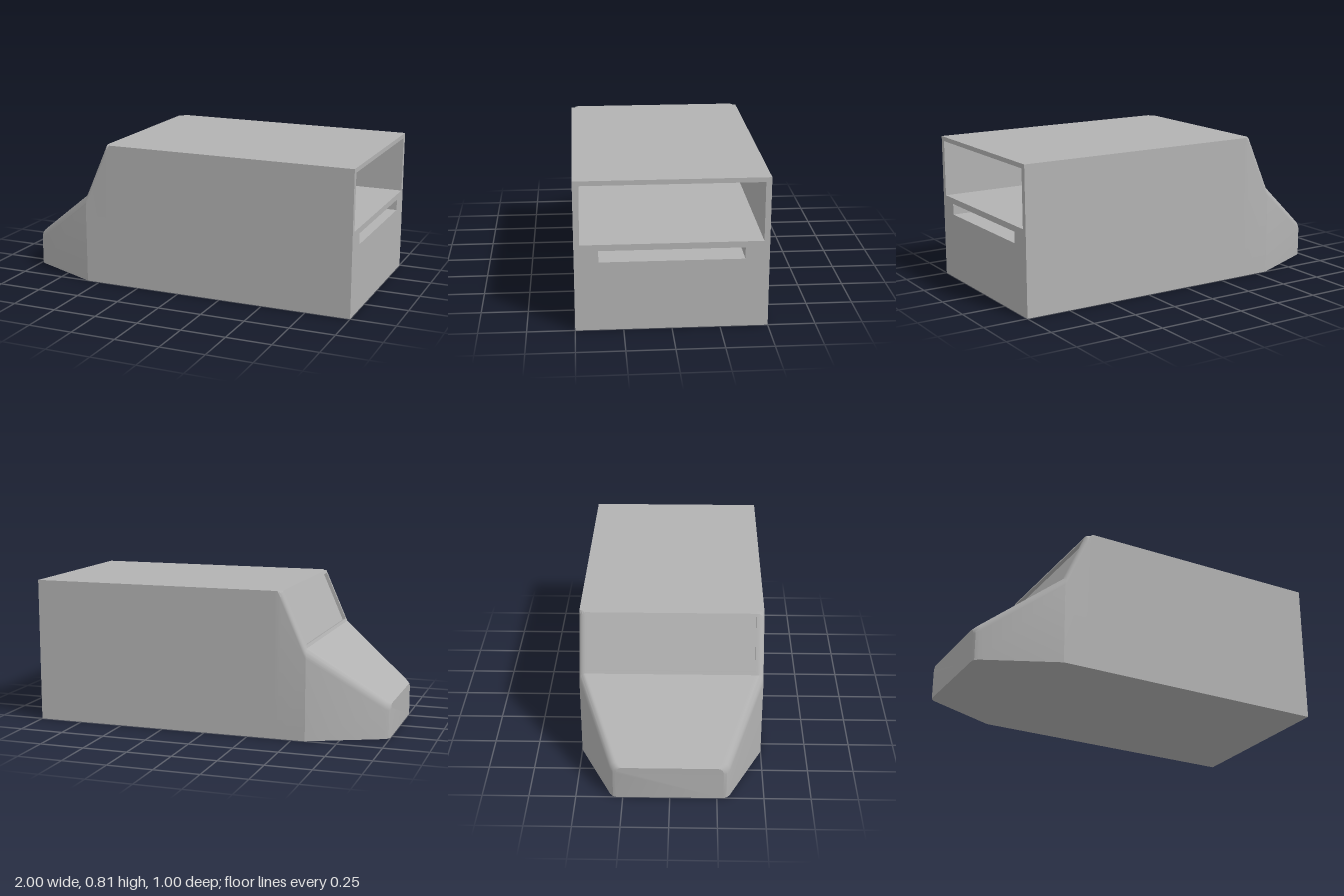
import * as THREE from 'three';
import { toCreasedNormals } from 'three/addons/utils/BufferGeometryUtils.js';

// Cab cross-sections: x, half width, height, corner rounding in z and y
const SECTIONS = [
  [-1, 0.285, 0.19, 0.03, 0.035],
  [-0.993, 0.302, 0.195, 0.035, 0.04],
  [-0.975, 0.318, 0.209, 0.035, 0.045],
  [-0.575, 0.5, 0.505, 0.035, 0.05],
  [-0.568, 0.5, 0.521, 0.035, 0.06],
  [-0.447, 0.5, 0.794, 0.035, 0.06],
  [-0.44, 0.5, 0.81, 0.035, 0.06],
  [-0.415, 0.5, 0.81, 0.035, 0],
  [-0.4, 0.5, 0.81, 0.035, 0],
];
const WINDSHIELD = 4; // section where the windshield opening starts
const ARC = 6;
const MID = ARC + 2; // loop index of the flat centre strip

function sectionLoop([x, w, h, rz, ry]) {
  const half = [new THREE.Vector3(x, 0, w)];
  for (let k = 0; k <= ARC; k++) {
    const a = (k / ARC) * Math.PI / 2;
    half.push(new THREE.Vector3(x, h - ry + ry * Math.sin(a), w - rz + rz * Math.cos(a)));
  }
  half.push(new THREE.Vector3(x, h, w - rz - 0.01));
  const mirrored = half.map((p) => new THREE.Vector3(p.x, p.y, -p.z)).reverse();
  return half.concat(mirrored);
}

function fromTriangles(points) {
  const geometry = new THREE.BufferGeometry().setFromPoints(points);
  return toCreasedNormals(geometry, 0.4);
}

function quad(out, a, b, c, d) {
  out.push(a, b, c, a, c, d);
}

function cabGeometry(loops) {
  const out = [];
  const n = loops[0].length;
  for (let i = 0; i < loops.length - 1; i++) {
    for (let j = 0; j < n; j++) {
      if (i === WINDSHIELD && j === MID) continue;
      const k = (j + 1) % n;
      quad(out, loops[i][j], loops[i + 1][j], loops[i + 1][k], loops[i][k]);
    }
  }
  // Nose face
  for (let k = 1; k < n - 1; k++) out.push(loops[0][0], loops[0][k], loops[0][k + 1]);
  return fromTriangles(out);
}

function windshieldGeometry(loops) {
  const lower = loops[WINDSHIELD], upper = loops[WINDSHIELD + 1];
  const rim = [lower[MID], upper[MID], upper[MID + 1], lower[MID + 1]];
  const inset = new THREE.Vector3(0.018, -0.008, 0);
  const pane = rim.map((p) => p.clone().add(inset));
  const out = [];
  quad(out, ...pane);
  for (let k = 0; k < 4; k++) {
    const m = (k + 1) % 4;
    quad(out, rim[k], rim[m], pane[m], pane[k]);
  }
  return fromTriangles(out);
}

function rectangle(path, halfWidth, y0, y1) {
  path.moveTo(-halfWidth, y0);
  path.lineTo(halfWidth, y0);
  path.lineTo(halfWidth, y1);
  path.lineTo(-halfWidth, y1);
  path.closePath();
  return path;
}

export function createModel() {
  const model = new THREE.Group();
  model.name = 'van';
  const grey = new THREE.MeshStandardMaterial({ color: 0xb2b2b2 });
  grey.name = 'body grey';

  function add(name, geometry) {
    const mesh = new THREE.Mesh(geometry, grey);
    mesh.name = name;
    model.add(mesh);
    return mesh;
  }

  // Tapered cab with rounded edges and a sunken windshield
  const loops = SECTIONS.map(sectionLoop);
  add('cab', cabGeometry(loops));
  add('windshield', windshieldGeometry(loops));

  // Cargo body with a large bay and a narrow slot, both open at the end
  const shape = rectangle(new THREE.Shape(), 0.5, 0, 0.81);
  shape.holes.push(rectangle(new THREE.Path(), 0.47, 0.47, 0.785));
  shape.holes.push(rectangle(new THREE.Path(), 0.375, 0.375, 0.437));
  const cargo = new THREE.ExtrudeGeometry(shape, { depth: 1.4, bevelEnabled: false });
  cargo.rotateY(Math.PI / 2);
  cargo.translate(-0.4, 0, 0);
  add('cargoBody', cargo);

  // Wall closing the bay and slot behind the cab
  add('bulkhead', new THREE.BoxGeometry(0.01, 0.44, 0.96)).position.set(-0.4, 0.58, 0);

  return model;
}
